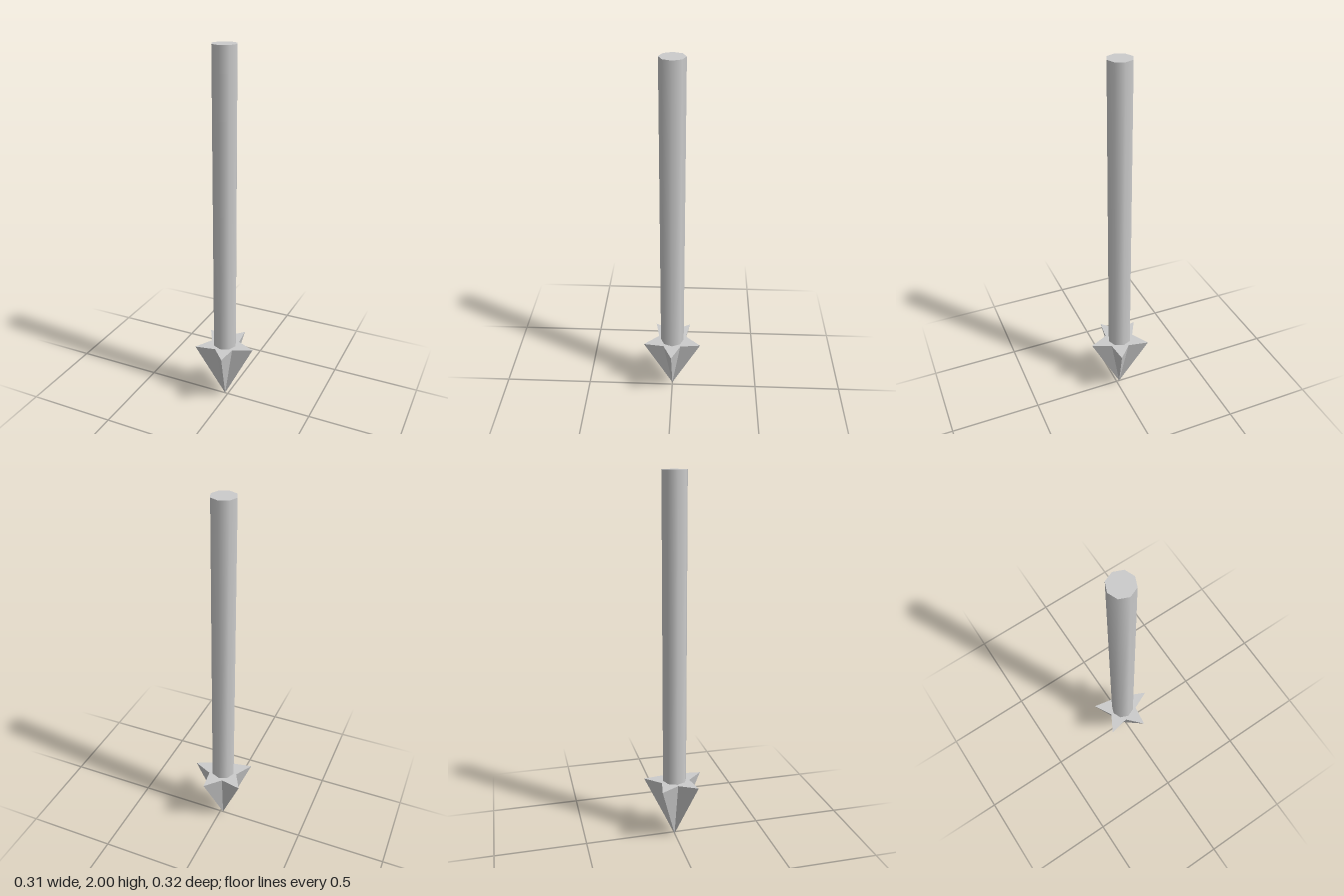
import * as THREE from 'three';

const TIPS = 5, OUTER = 0.17, INNER = 0.082, HEAD_TOP = 0.34;
const SHAFT_RADIUS = 0.066, TOP = 2, AXIS_X = -0.017;

// Inverted cone whose rim alternates between outer and inner radius
function starCone() {
  const geo = new THREE.CylinderGeometry(OUTER, 0, HEAD_TOP, TIPS * 2, 1, false, Math.PI / 2);
  const pos = geo.attributes.position;
  for (let i = 0; i < pos.count; i++) {
    const x = pos.getX(i), z = pos.getZ(i);
    if (Math.hypot(x, z) < OUTER / 2) continue;
    const step = Math.round(Math.atan2(z, x) / (Math.PI / TIPS));
    const k = step % 2 === 0 ? 1 : INNER / OUTER;
    pos.setXYZ(i, x * k, pos.getY(i), z * k);
  }
  geo.computeVertexNormals();
  return geo;
}

export function createModel() {
  const model = new THREE.Group();
  model.name = 'arrow';

  // Star-shaped head, point down
  const head = new THREE.Mesh(
    starCone(),
    new THREE.MeshStandardMaterial({ color: 0xcccccc, flatShading: true })
  );
  head.name = 'starHead';
  head.position.set(AXIS_X, HEAD_TOP / 2, 0);

  // Smooth eight-sided shaft
  const length = TOP - HEAD_TOP;
  const shaft = new THREE.Mesh(
    new THREE.CylinderGeometry(SHAFT_RADIUS, SHAFT_RADIUS, length, 8),
    new THREE.MeshStandardMaterial({ color: 0xcccccc })
  );
  shaft.name = 'shaft';
  shaft.position.set(AXIS_X, HEAD_TOP + length / 2, 0);

  model.add(head, shaft);
  return model;
}
